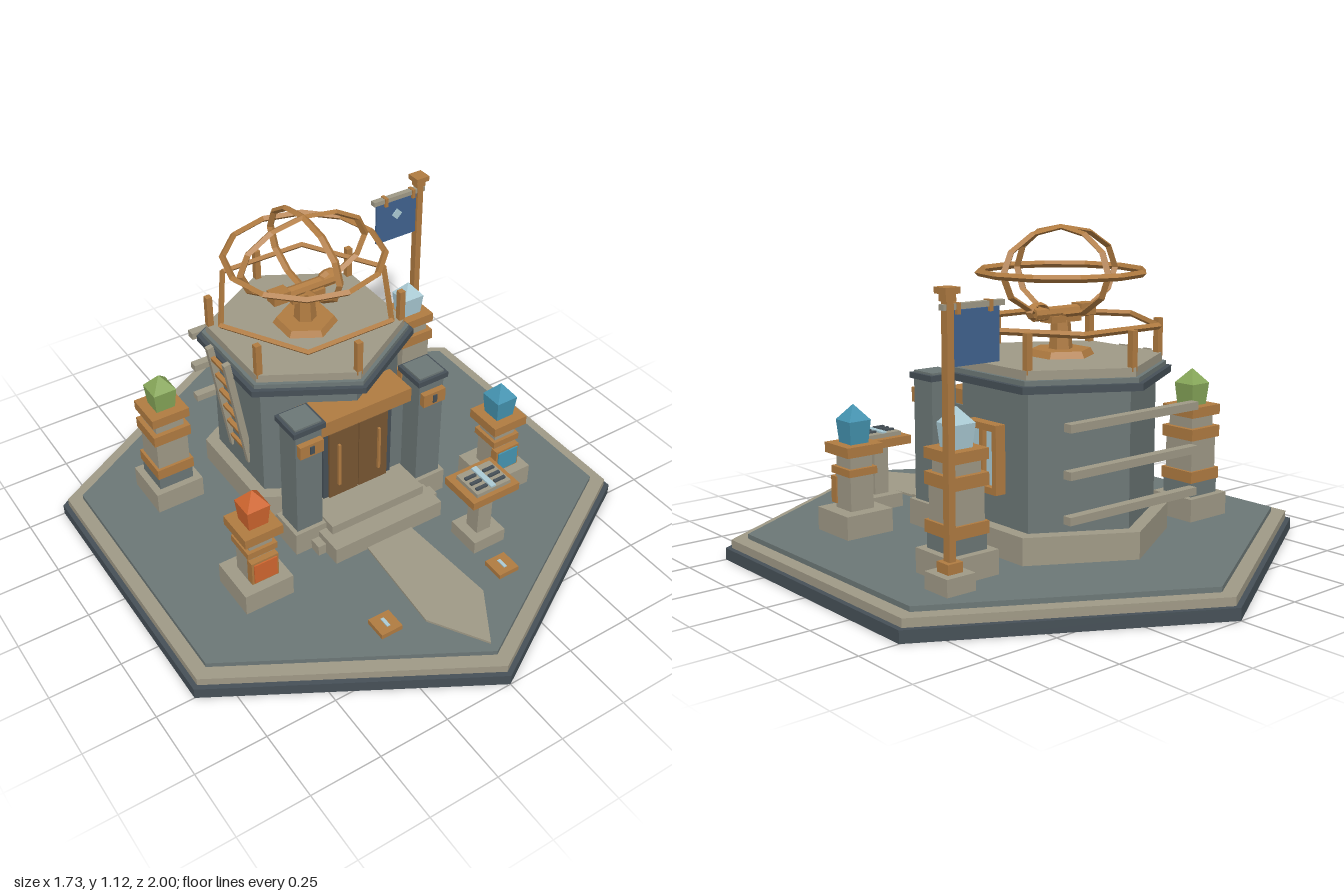
import * as THREE from 'three';

const mat = (name, color) => {
  const m = new THREE.MeshStandardMaterial({ color });
  m.name = name;
  return m;
};

export function createModel() {
  const slate = mat('slate', 0x6c7776), dark = mat('dark slate', 0x465057), stone = mat('stone', 0x9f9986);
  const wood = mat('wood', 0xb07b41), darkWood = mat('dark wood', 0x785632);
  const green = mat('green crystal', 0x88a85a), red = mat('orange crystal', 0xd0662f);
  const pale = mat('pale blue', 0xabcbd5), teal = mat('teal crystal', 0x4595b2), navy = mat('navy cloth', 0x40628f);
  const root = new THREE.Group();
  root.name = 'observatory';

  // Faceted mesh helper
  const add = (parent, name, geo, material, x = 0, y = 0, z = 0) => {
    const g = geo.index ? geo.toNonIndexed() : geo;
    g.computeVertexNormals();
    const m = new THREE.Mesh(g, material);
    m.name = name;
    m.position.set(x, y, z);
    parent.add(m);
    return m;
  };
  // Box and prism placed by their bottom and top heights
  const box = (p, name, material, x, z, w, d, y0, y1) =>
    add(p, name, new THREE.BoxGeometry(w, y1 - y0, d), material, x, (y0 + y1) / 2, z);
  const prism = (p, name, material, x, z, rTop, rBottom, y0, y1, sides = 6, turn = 0) =>
    add(p, name, new THREE.CylinderGeometry(rTop, rBottom, y1 - y0, sides, 1, false, turn), material, x, (y0 + y1) / 2, z);
  const group = (name, x = 0, y = 0, z = 0) => {
    const g = new THREE.Group();
    g.name = name;
    g.position.set(x, y, z);
    root.add(g);
    return g;
  };

  // Hexagonal platform
  const base = group('platform');
  prism(base, 'lowerSlab', dark, 0, 0, 1, 1, 0, 0.04);
  prism(base, 'stoneRim', stone, 0, 0, 0.98, 0.98, 0.04, 0.068);
  prism(base, 'paving', slate, 0, 0, 0.925, 0.925, 0.068, 0.085);

  // Arrow-shaped path
  const arrow = new THREE.Shape([[-0.09, 0.3], [0.09, 0.3], [0.118, 0.7], [0, 0.89], [-0.118, 0.7]]
    .map(([x, y]) => new THREE.Vector2(x, y)));
  add(base, 'path', new THREE.ExtrudeGeometry(arrow, { depth: 0.008, bevelEnabled: false }).rotateX(Math.PI / 2), stone, 0, 0.093, 0);

  // Tower body and roof
  const C = -0.21;
  const tower = group('tower');
  prism(tower, 'plinth', stone, 0, C, 0.375, 0.375, 0.085, 0.175);
  prism(tower, 'wall', slate, 0, C, 0.325, 0.325, 0.175, 0.625);
  prism(tower, 'cornice', dark, 0, C, 0.378, 0.378, 0.625, 0.648);
  prism(tower, 'roofStep', slate, 0, C, 0.36, 0.36, 0.648, 0.664);
  prism(tower, 'roofSlab', stone, 0, C, 0.345, 0.345, 0.664, 0.693);
  [0.255, 0.395, 0.54].forEach(y => box(tower, 'backSlat', stone, 0, C - 0.34, 0.56, 0.032, y - 0.013, y + 0.013));

  // Entrance: steps, portal, doors
  const entry = group('entrance');
  box(entry, 'lowerStep', stone, 0, 0.2, 0.5, 0.12, 0.085, 0.125);
  box(entry, 'middleStep', stone, 0, 0.19, 0.44, 0.27, 0.085, 0.15);
  box(entry, 'upperStep', stone, 0, 0.14, 0.38, 0.23, 0.15, 0.185);
  box(entry, 'portal', slate, 0, 0.03, 0.4, 0.16, 0.175, 0.51);
  box(entry, 'doorFrame', dark, 0, 0.08, 0.28, 0.08, 0.185, 0.505);
  box(entry, 'lintel', wood, 0, 0.095, 0.385, 0.13, 0.505, 0.56);
  for (const s of [-1, 1]) {
    box(entry, 'doorLeaf', darkWood, s * 0.061, 0.1, 0.118, 0.055, 0.185, 0.47);
    box(entry, 'doorHandle', wood, s * 0.082, 0.132, 0.009, 0.01, 0.235, 0.415);
    box(entry, 'pillarFoot', stone, s * 0.246, 0.15, 0.13, 0.13, 0.085, 0.175);
    box(entry, 'pillar', slate, s * 0.246, 0.15, 0.1, 0.1, 0.175, 0.595);
    box(entry, 'pillarCap', dark, s * 0.246, 0.15, 0.122, 0.122, 0.595, 0.615);
    box(entry, 'pillarCapTop', slate, s * 0.246, 0.15, 0.1, 0.1, 0.615, 0.622);
    box(entry, 'pillarBracket', wood, s * 0.246, 0.211, 0.09, 0.022, 0.51, 0.56);
    box(entry, 'pillarSlot', dark, s * 0.246, 0.223, 0.016, 0.006, 0.52, 0.55);
  }

  // Window on the left wall
  const win = group('window', 0.28, 0.393, -0.185);
  add(win, 'windowBack', new THREE.BoxGeometry(0.03, 0.2, 0.13), wood);
  for (const s of [-1, 1]) {
    add(win, 'pane', new THREE.BoxGeometry(0.008, 0.18, 0.05), pale, 0.017, 0, s * 0.032);
    add(win, 'jamb', new THREE.BoxGeometry(0.04, 0.225, 0.02), wood, 0.02, 0, s * 0.068);
    add(win, 'rail', new THREE.BoxGeometry(0.04, 0.022, 0.15), wood, 0.02, s * 0.102, 0);
  }
  add(win, 'mullion', new THREE.BoxGeometry(0.035, 0.2, 0.016), wood, 0.02);

  // Leaning ladder on the right wall
  const ladder = group('ladder', -0.312, 0.46, C);
  ladder.rotation.z = 0.155;
  for (const s of [-1, 1]) add(ladder, 'ladderRail', new THREE.BoxGeometry(0.024, 0.46, 0.02), stone, 0, 0, s * 0.058);
  for (let i = 0; i < 6; i++) add(ladder, 'rung', new THREE.BoxGeometry(0.016, 0.014, 0.11), wood, 0, -0.18 + i * 0.073, 0);

  // Roof railing
  const railing = group('railing', 0, 0, C);
  add(railing, 'railRing', new THREE.TorusGeometry(0.327, 0.011, 4, 6).rotateX(Math.PI / 2), wood, 0, 0.802, 0);
  for (let i = 0; i < 6; i++) {
    const a = i * Math.PI / 3;
    box(railing, 'railPost', wood, Math.sin(a) * 0.33, Math.cos(a) * 0.33, 0.022, 0.022, 0.68, 0.808);
  }

  // Armillary rings, flattened vertically
  const rings = group('armillary', 0, 0.967, C);
  add(rings, 'horizonRing', new THREE.TorusGeometry(0.272, 0.012, 4, 12).rotateX(Math.PI / 2), wood);
  const upright = r => new THREE.TorusGeometry(r, 0.014, 4, 12).scale(1, 0.143 / r, 1);
  add(rings, 'wideRing', upright(0.245), wood);
  add(rings, 'deepRing', upright(0.22).rotateY(Math.PI / 2), wood);

  // Instrument on its stand
  const scope = group('telescope', 0, 0, C);
  prism(scope, 'standFoot', wood, 0, 0, 0.1, 0.115, 0.69, 0.715);
  prism(scope, 'standColumn', wood, 0, 0, 0.032, 0.04, 0.715, 0.81);
  box(scope, 'cradle', wood, 0, 0, 0.13, 0.06, 0.803, 0.825);
  add(scope, 'tube', new THREE.CylinderGeometry(0.022, 0.022, 0.24, 8).rotateZ(Math.PI / 2), wood, 0, 0.833, 0);
  box(scope, 'eyepiece', wood, -0.102, 0, 0.065, 0.05, 0.818, 0.858);
  add(scope, 'lensRing', new THREE.TorusGeometry(0.038, 0.011, 4, 10).scale(1, 0.65, 1.6), wood, 0.1, 0.842, 0);

  // Crystal lamps
  const crystal = (p, material, y, h) => {
    const q = Math.SQRT1_2;
    prism(p, 'crystalBody', material, 0, 0, 0.084 * q, 0.07 * q, y, y + h * 0.6, 4, Math.PI / 4);
    prism(p, 'crystalTip', material, 0, 0, 0.001, 0.084 * q, y + h * 0.6, y + h, 4, Math.PI / 4);
  };
  // Each layer: material, width, bottom, top
  const stack = (p, layers) => layers.forEach(([m, w, a, b]) => box(p, 'lampBlock', m, 0, 0, w, w, a, b));
  [[-1, green], [1, pale]].forEach(([s, m]) => {
    const lamp = group('rearLamp', s * 0.52, 0, -0.32);
    stack(lamp, [[stone, 0.18, 0.085, 0.165], [slate, 0.13, 0.165, 0.215], [wood, 0.14, 0.215, 0.255], [stone, 0.12, 0.255, 0.365],
      [wood, 0.14, 0.365, 0.405], [stone, 0.105, 0.405, 0.445], [wood, 0.14, 0.445, 0.48]]);
    crystal(lamp, m, 0.48, 0.125);
  });
  [[-1, red], [1, teal]].forEach(([s, m]) => {
    const lamp = group('frontLamp', s * 0.5, 0, 0.267);
    stack(lamp, [[stone, 0.18, 0.085, 0.165], [stone, 0.09, 0.165, 0.285], [wood, 0.11, 0.285, 0.31],
      [stone, 0.085, 0.31, 0.355], [wood, 0.14, 0.355, 0.39]]);
    box(lamp, 'lampPanelFrame', wood, 0, 0.052, 0.1, 0.03, 0.18, 0.272);
    box(lamp, 'lampPanel', m, 0, 0.069, 0.085, 0.006, 0.188, 0.264);
    crystal(lamp, m, 0.39, 0.13);
  });

  // Flag on its pole
  const flag = group('flag', 0.628, 0, -0.425);
  box(flag, 'flagBase', stone, 0, 0, 0.105, 0.11, 0.085, 0.14);
  box(flag, 'flagCollar', wood, 0, 0, 0.055, 0.055, 0.14, 0.172);
  box(flag, 'pole', wood, 0, 0, 0.024, 0.028, 0.17, 0.945);
  box(flag, 'poleNeck', wood, 0, 0, 0.036, 0.036, 0.935, 0.957);
  box(flag, 'poleCap', wood, 0, 0, 0.054, 0.054, 0.957, 0.976);
  box(flag, 'crossbar', stone, -0.09, 0, 0.225, 0.022, 0.91, 0.927);
  box(flag, 'cloth', navy, -0.098, 0, 0.178, 0.009, 0.745, 0.908);
  for (const x of [-0.15, -0.03]) box(flag, 'clothRing', wood, x, 0, 0.013, 0.03, 0.896, 0.93);
  add(flag, 'diamond', new THREE.BoxGeometry(0.031, 0.031, 0.004).rotateZ(Math.PI / 4), pale, -0.098, 0.848, 0.006);

  // Reading stand
  const stand = group('lectern', 0.266, 0, 0.478);
  box(stand, 'lecternBase', stone, 0, 0, 0.13, 0.13, 0.085, 0.135);
  box(stand, 'lecternPost', stone, 0, 0, 0.058, 0.058, 0.135, 0.315);
  box(stand, 'lecternTop', wood, 0, 0, 0.192, 0.158, 0.315, 0.345);
  box(stand, 'tablet', stone, 0, 0.005, 0.14, 0.115, 0.345, 0.36);
  box(stand, 'tabletStrip', pale, 0, 0.005, 0.02, 0.11, 0.36, 0.366);
  for (const s of [-1, 1])
    for (let i = -1; i <= 1; i++) box(stand, 'tabletLine', dark, s * 0.038, 0.012 + i * 0.03, 0.045, 0.011, 0.36, 0.367);

  // Floor lights beside the path
  for (const s of [-1, 1]) {
    const light = group('floorLight', s * 0.24, 0, 0.645);
    box(light, 'lightPlate', wood, 0, 0, 0.08, 0.08, 0.085, 0.103);
    box(light, 'lightStrip', pale, 0, 0, 0.012, 0.038, 0.103, 0.107);
  }
  return root;
}
